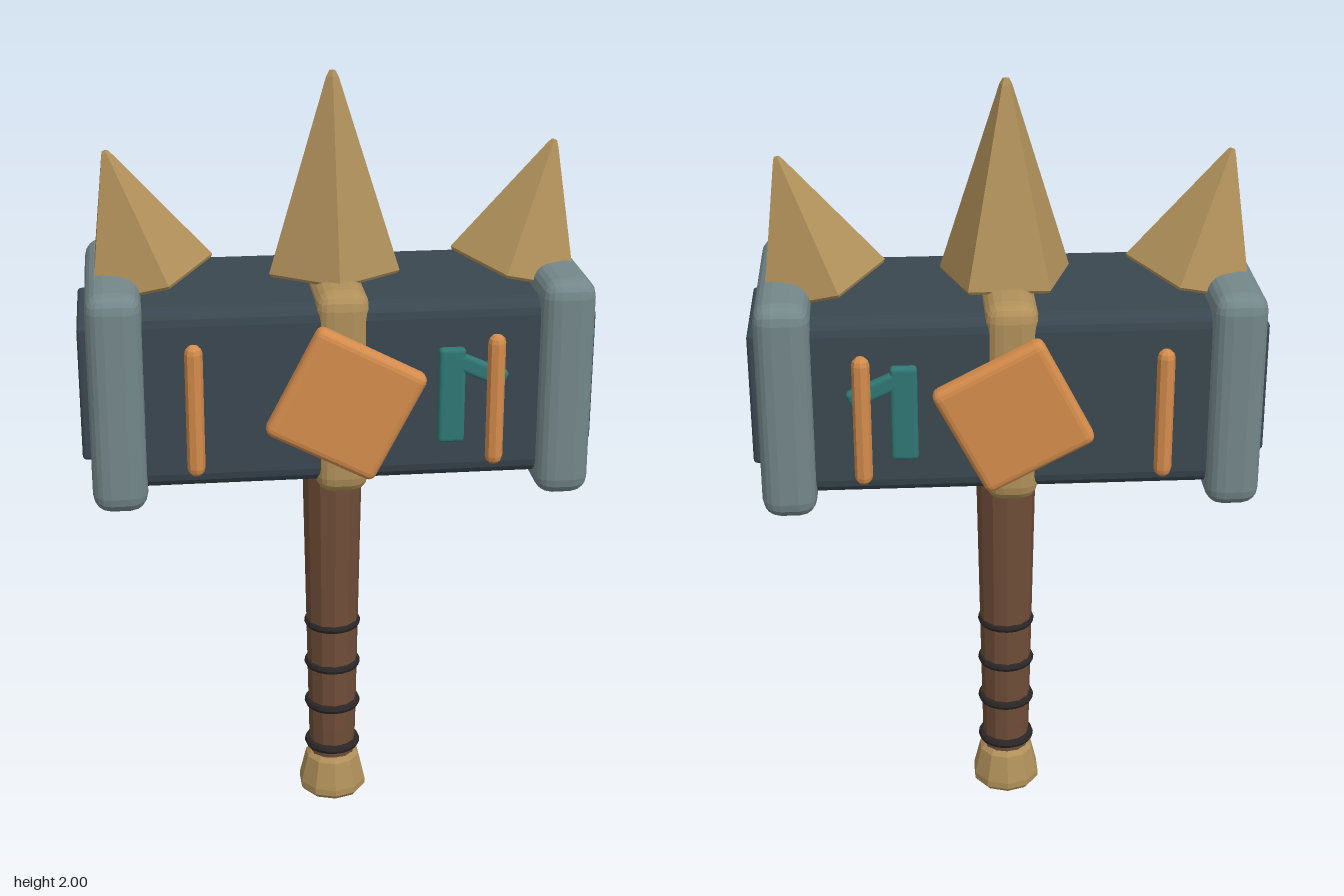
import * as THREE from 'three';
import { RoundedBoxGeometry } from 'three/addons/geometries/RoundedBoxGeometry.js';

const mat = (color) => new THREE.MeshStandardMaterial({ color, flatShading: true });

export function createModel() {
  const root = new THREE.Group();
  const slate = mat(0x3a4750), steel = mat(0x74878a), gold = mat(0xb0905a);
  const copper = mat(0xd48c4c), teal = mat(0x2f7774), wood = mat(0x6f4d38), cord = mat(0x2a2625);

  const add = (name, geometry, material, x, y, z, rz = 0) => {
    const m = new THREE.Mesh(geometry, material);
    m.name = name;
    m.position.set(x, y, z);
    m.rotation.z = rz;
    root.add(m);
    return m;
  };
  const box = (w, h, d, r) => new RoundedBoxGeometry(w, h, d, 2, r);
  const lathe = (points, sides) =>
    new THREE.LatheGeometry(points.map(([r, y]) => new THREE.Vector2(r, y)), sides);
  // Five-sided spike with a blunted tip
  const spike = (r, h) => lathe([[0, 0], [r - 0.006, 0], [r, 0.008], [0.016, h - 0.014], [0.008, h], [0, h]], 5);

  // Hammer head and central band
  const cy = 1.25;
  add('head', box(1.1, 0.46, 0.49, 0.04), slate, 0, cy, 0);
  add('centreBand', box(0.134, 0.525, 0.52, 0.045), gold, 0, cy, 0);

  // Handle, grip rings and pommel
  add('handle', lathe([[0, 0.08], [0.06, 0.08], [0.064, 0.2], [0.078, 0.95], [0.078, 1.03], [0, 1.03]], 12), wood, 0, 0, 0);
  for (const y of [0.145, 0.27, 0.392, 0.515]) {
    add('gripRing', new THREE.TorusGeometry(0.064, 0.012, 8, 20), cord, 0, y, 0).rotation.x = Math.PI / 2;
  }
  add('pommel', lathe([[0, 0], [0.082, 0], [0.092, 0.012], [0.092, 0.03], [0.074, 0.105], [0.062, 0.118], [0, 0.118]], 10), gold, 0, 0, 0);

  // Centre spike
  add('centreSpike', spike(0.172, 0.5), gold, 0, 1.5, 0);

  for (const s of [-1, 1]) {
    // End caps, striking faces and outward-leaning spikes
    add('endCap', box(0.136, 0.56, 0.568, 0.045), steel, s * 0.552, cy, 0);
    add('strikingFace', box(0.05, 0.345, 0.345, 0.01), slate, s * 0.617, cy, 0);
    const g = spike(0.172, 0.334);
    g.rotateY(-s * Math.PI / 2);
    add('sideSpike', g, gold, s * 0.464, 1.495, 0, -s * 0.28);

    // Ornaments on the front and back faces
    add('diamondPlate', box(0.3, 0.3, 0.056, 0.02), copper, 0, cy, s * 0.303, -0.48);
    for (const x of [-0.366, 0.366]) {
      add('sideRod', new THREE.CapsuleGeometry(0.022, 0.292, 3, 8), copper, x, 1.248, s * 0.307);
    }
    add('runeStem', box(0.066, 0.244, 0.028, 0.01), teal, 0.264, 1.25, s * 0.268);
    add('runeArm', box(0.14, 0.044, 0.028, 0.01), teal, 0.334, 1.314, s * 0.268, -0.42);
  }
  return root;
}
